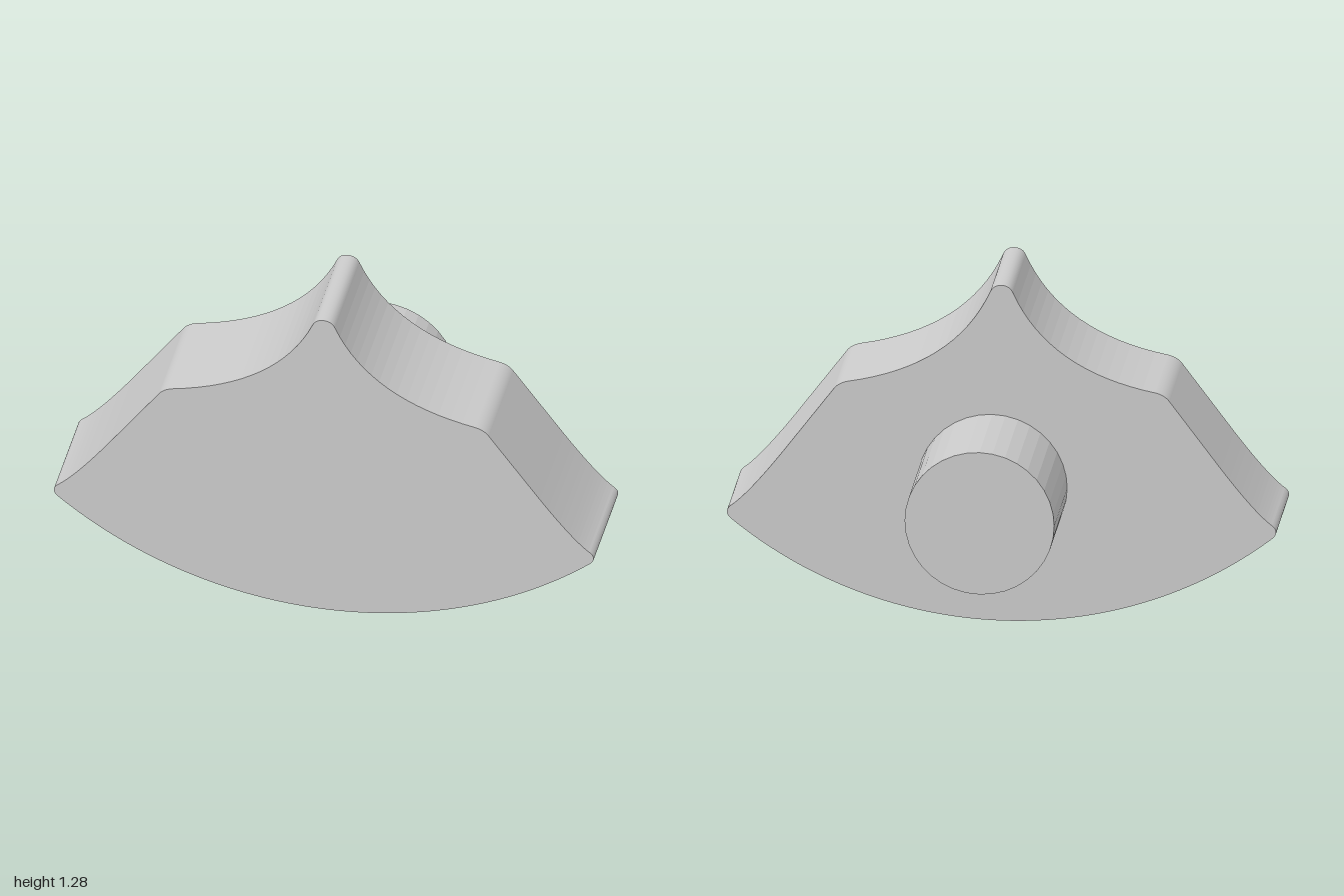
import * as THREE from 'three';

export function createModel() {
  const group = new THREE.Group();
  const material = new THREE.MeshStandardMaterial({ color: 0xcccccc, flatShading: true });

  // Half outline of the fan-shaped plate, from the bottom centre up to the peak
  const half = new THREE.Path();
  const R = 1.55, a = Math.asin(0.985 / R);
  half.moveTo(0, 0);
  half.absarc(0, R, R, -Math.PI / 2, -Math.PI / 2 + a, false);
  half.quadraticCurveTo(1.012, 0.378, 0.985, 0.402); // rounded side tip
  half.quadraticCurveTo(0.925, 0.445, 0.8, 0.61);
  half.lineTo(0.612, 0.862);
  half.quadraticCurveTo(0.595, 0.887, 0.56, 0.895); // rounded shoulder
  half.quadraticCurveTo(0.172, 0.965, 0.042, 1.257); // concave flank
  half.quadraticCurveTo(0.03, 1.285, 0, 1.285); // rounded peak

  // Mirror the half outline
  const right = half.getPoints(16);
  const left = right.slice(1, -1).reverse().map((p) => new THREE.Vector2(-p.x, p.y));
  const plate = new THREE.Mesh(
    new THREE.ExtrudeGeometry(new THREE.Shape([...right, ...left]), { depth: 0.415, bevelEnabled: false }),
    material
  );
  plate.name = 'plate';
  group.add(plate);

  // Round pin on the back, slightly off centre
  const pin = new THREE.Mesh(new THREE.CylinderGeometry(0.272, 0.272, 0.415, 36), material);
  pin.rotation.x = Math.PI / 2;
  pin.position.set(0.033, 0.517, -0.2075);
  pin.name = 'pin';
  group.add(pin);

  return group;
}
